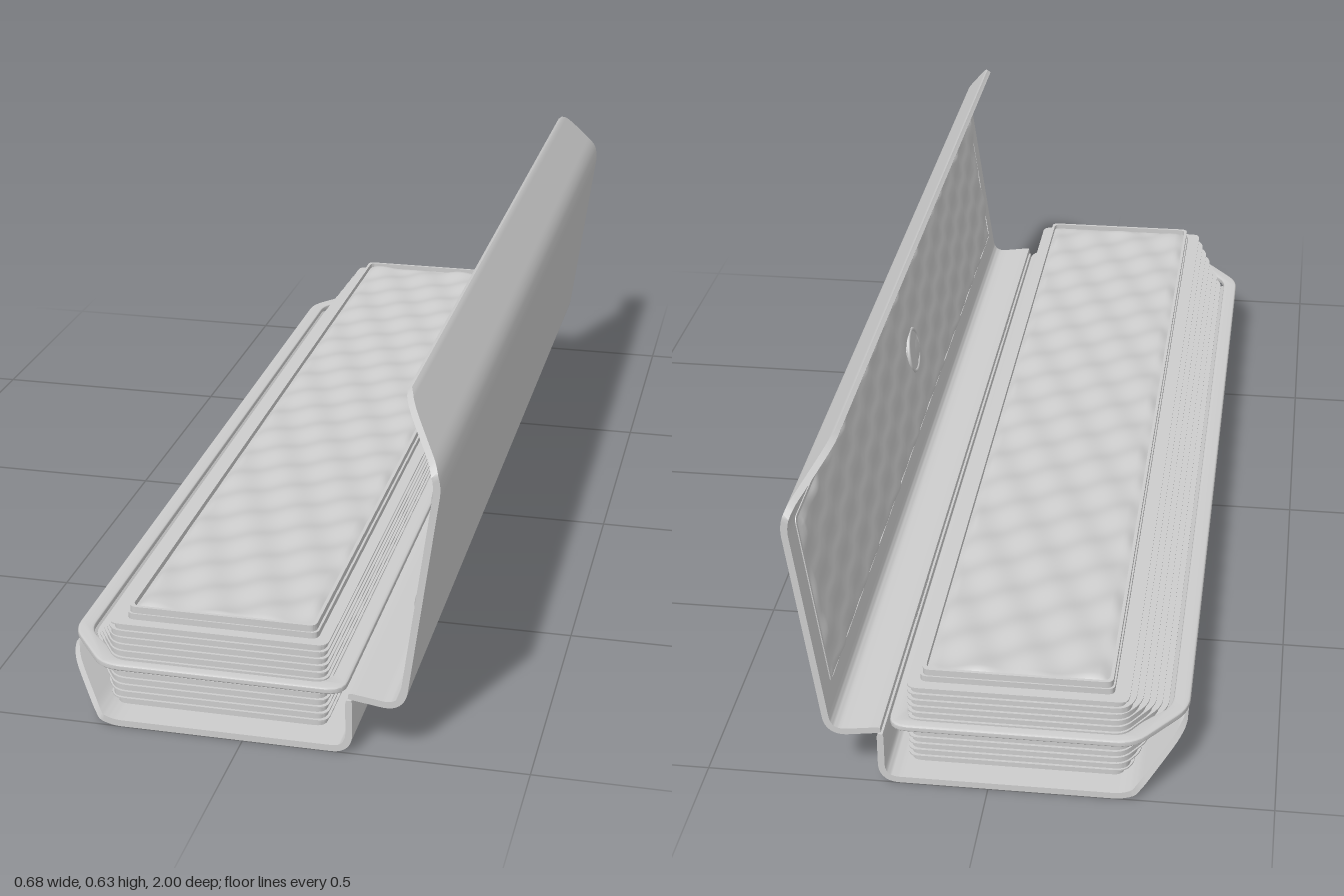
import * as THREE from 'three';
import { toCreasedNormals } from 'three/addons/utils/BufferGeometryUtils.js';

const grey = new THREE.MeshStandardMaterial({ color: 0xcccccc });
const V = (x, y) => new THREE.Vector2(x, y);

function add(parent, name, geometry, x = 0, y = 0, z = 0) {
  const mesh = new THREE.Mesh(geometry, grey);
  mesh.name = name;
  mesh.position.set(x, y, z);
  parent.add(mesh);
  return mesh;
}

// Trace straight lines with rounded corners into a path, shape or hole
function rounded(path, pts, radius, closed) {
  const n = pts.length;
  const toward = (a, b) => a.clone().add(b.clone().sub(a).setLength(Math.min(radius, a.distanceTo(b) * 0.45)));
  const start = closed ? toward(pts[0], pts[1]) : pts[0];
  path.moveTo(start.x, start.y);
  for (let i = 1; i < (closed ? n + 1 : n - 1); i++) {
    const c = pts[i % n], a = toward(c, pts[i - 1]), b = toward(c, pts[(i + 1) % n]);
    path.lineTo(a.x, a.y);
    path.quadraticCurveTo(c.x, c.y, b.x, b.y);
  }
  if (!closed) path.lineTo(pts[n - 1].x, pts[n - 1].y);
  return path;
}

// Bent sheet of constant thickness, running along z up to zLimit(x, y)
function bentSheet(pts, radius, thickness, zLimit) {
  const line = rounded(new THREE.Path(), pts, radius, false).getSpacedPoints(110);
  const n = line.length, position = [], index = [];
  line.forEach((p, i) => {
    const t = line[Math.min(i + 1, n - 1)].clone().sub(line[Math.max(i - 1, 0)]).normalize();
    const z = zLimit(p.x, p.y);
    // narrower at both free edges, so that they look rounded
    const h = thickness / 2 * (i === 0 || i === n - 1 ? 0.75 : 1);
    for (const side of [1, -1])
      for (const end of [1, -1]) position.push(p.x - t.y * h * side, p.y + t.x * h * side, z * end);
  });
  const quad = (a, b, c, d) => index.push(a, b, c, a, c, d);
  for (let i = 0; i < n - 1; i++) {
    const a = i * 4, b = a + 4;
    quad(a, b, b + 1, a + 1);             // upper face
    quad(a + 2, a + 3, b + 3, b + 2);     // lower face
    quad(a, a + 2, b + 2, b);             // +z end
    quad(a + 1, b + 1, b + 3, a + 3);     // -z end
  }
  const e = (n - 1) * 4;
  quad(0, 1, 3, 2);
  quad(e, e + 2, e + 3, e + 1);
  const g = new THREE.BufferGeometry();
  g.setAttribute('position', new THREE.Float32BufferAttribute(position, 3));
  g.setIndex(index);
  return toCreasedNormals(g, 0.6);
}

// Flat slab with clipped corners on its -x side, bottom at y = 0; a hole leaves a rim of that width
function slab(x0, x1, z, clipX, clipZ, height, radius, bevel = 0, hole = 0) {
  const outline = (d) => {
    const left = clipX > 0.004
      ? [V(x0 + d, z - clipZ), V(x0 + d, -z + clipZ), V(x0 + clipX + d, -z + d)]
      : [V(x0 + d, z - d), V(x0 + d, -z + d)];
    const list = [...left, V(x1 - d, -z + d), V(x1 - d, z - d)];
    if (clipX > 0.004) list.push(V(x0 + clipX + d, z - d));
    return list;
  };
  const shape = rounded(new THREE.Shape(), outline(bevel), radius, true);
  if (hole) shape.holes.push(rounded(new THREE.Path(), outline(hole), radius, true));
  const g = new THREE.ExtrudeGeometry(shape, {
    depth: height - 2 * bevel, curveSegments: 5, bevelEnabled: bevel > 0,
    bevelSize: bevel, bevelThickness: bevel, bevelSegments: 3,
  });
  g.translate(0, 0, bevel).rotateX(-Math.PI / 2);
  return toCreasedNormals(g, 0.6);
}

// Quilted cushion facing +z, long side along x
function quilt(length, width, height) {
  const g = new THREE.PlaneGeometry(length, width, 240, 44);
  const p = g.attributes.position;
  for (let i = 0; i < p.count; i++) {
    const x = p.getX(i), y = p.getY(i);
    const edge = Math.min(1, (length / 2 - Math.abs(x)) / 0.015, (width / 2 - Math.abs(y)) / 0.015);
    const wave = 0.5 + 0.27 * Math.sin(x * 58 + y * 34) + 0.23 * Math.sin(x * 24 - y * 62);
    p.setZ(i, height * Math.max(0, edge) * wave);
  }
  g.computeVertexNormals();
  return g;
}

export function createModel() {
  const model = new THREE.Group();
  model.name = 'openCase';
  // end of a sheet, drawn in towards its free edge with a rounded corner
  const clip = (t) => {
    const s = THREE.MathUtils.clamp(t, 0, 1);
    return 1 - 0.095 * s - 0.025 * s ** 10;
  };

  // Lower tray and open lid
  add(model, 'tray', bentSheet(
    [V(-0.336, 0.092), V(-0.25, 0.0065), V(0.188, 0.0065), V(0.188, 0.102)],
    0.032, 0.012, (x) => clip((-0.255 - x) / 0.081)));
  const lid = new THREE.Group();
  lid.name = 'lid';
  model.add(lid);
  add(lid, 'lidShell', bentSheet(
    [V(0.187, 0.111), V(0.279, 0.098), V(0.3385, 0.526), V(0.265, 0.63)],
    0.034, 0.012, (x, y) => clip((y - 0.53) / 0.1)));

  // Quilted lining on the inside of the lid with a round button
  const lining = new THREE.Group();
  lining.name = 'lidLining';
  lining.position.set(0.3115, 0.332, 0);
  lining.rotation.z = -Math.atan(0.139);
  lid.add(lining);
  add(lining, 'liningQuilt', quilt(1.89, 0.332, 0.01).rotateY(-Math.PI / 2), -0.0062);
  const frame = slab(-0.169, 0.169, 0.95, 0, 0, 0.003, 0.012, 0, 0.006).rotateZ(Math.PI / 2);
  add(lining, 'liningFrame', frame, -0.005);
  add(lining, 'buttonRing', new THREE.TorusGeometry(0.044, 0.004, 10, 40).rotateY(Math.PI / 2), -0.012);
  add(lining, 'button', new THREE.CylinderGeometry(0.044, 0.044, 0.009, 40).rotateZ(Math.PI / 2), -0.009);

  // Hinge leaves
  for (const z of [-0.573, 0.573]) {
    const leaf = rounded(new THREE.Shape(), [V(-0.08, 0.06), V(0.08, 0.06), V(0.08, 0.104), V(-0.08, 0.104)], 0.014, true);
    const g = new THREE.ExtrudeGeometry(leaf, { depth: 0.009, bevelEnabled: false }).rotateY(Math.PI / 2);
    add(model, 'hinge', toCreasedNormals(g, 0.6), 0.187, 0, z);
  }

  // Support feet between tray and body
  for (const x of [-0.15, 0.052])
    for (const z of [-0.8, 0.8])
      add(model, 'foot', new THREE.CylinderGeometry(0.022, 0.022, 0.022, 24), x, 0.021, z);

  // Layered body: blocks alternating with thin projecting fins
  const body = new THREE.Group();
  body.name = 'layeredBody';
  model.add(body);
  const leftAt = (y) => y < 0.108
    ? THREE.MathUtils.lerp(-0.23, -0.294, (y - 0.03) / 0.078)
    : THREE.MathUtils.lerp(-0.294, -0.232, (y - 0.108) / 0.08);
  const layers = 12, pitch = 0.158 / layers;
  for (let i = 0; i < layers; i++) {
    const y = 0.03 + i * pitch;
    const x0 = leftAt(y + pitch / 2), finX = leftAt(y + pitch) - 0.011;
    const cut = Math.max(0, -0.235 - x0), finCut = Math.max(0, -0.235 - finX);
    add(body, 'layer', slab(x0, 0.14, 0.971, cut, cut * 1.5, pitch - 0.0025, 0.02), 0, y);
    add(body, 'fin', slab(finX, 0.145, 0.976, finCut, finCut * 1.5, 0.0025, 0.02), 0, y + pitch - 0.0025);
  }

  // Flange ring around the body
  add(model, 'flange', slab(-0.342, 0.177, 0.99, 0.085, 0.115, 0.012, 0.03, 0.004, 0.026), 0, 0.103);

  // Top plate, rim and quilted cushion
  add(model, 'topPlate', slab(-0.216, 0.124, 0.955, 0, 0, 0.012, 0.014), 0, 0.187);
  add(model, 'topRim', slab(-0.213, 0.12, 0.952, 0, 0, 0.013, 0.014, 0, 0.006), 0, 0.198);
  add(model, 'topQuilt', quilt(1.894, 0.324, 0.01).rotateX(-Math.PI / 2).rotateY(Math.PI / 2), -0.0465, 0.2);
  return model;
}
